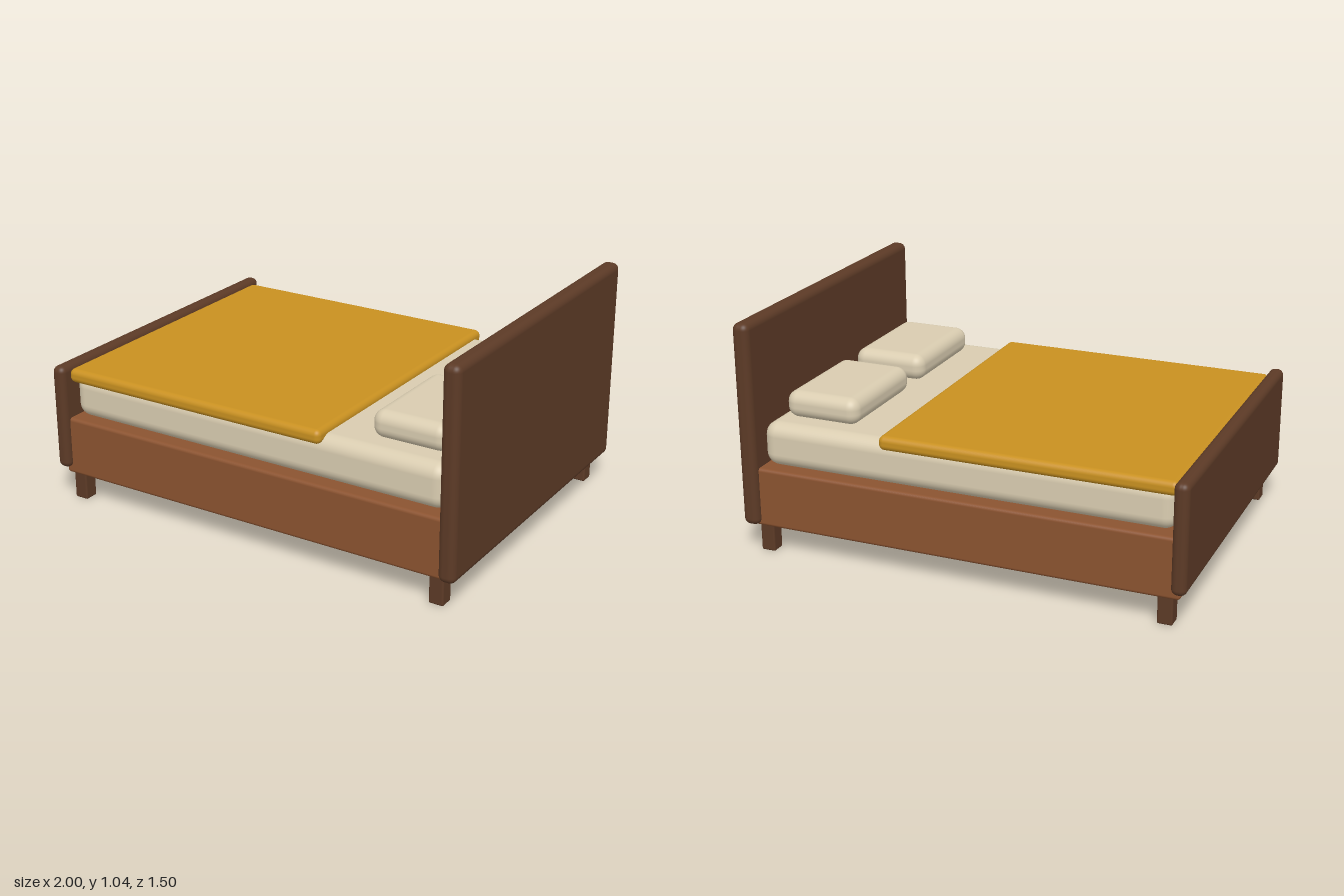
import * as THREE from 'three';
import { RoundedBoxGeometry } from 'three/addons/geometries/RoundedBoxGeometry.js';

const flat = (name, color) => {
  const material = new THREE.MeshStandardMaterial({ color });
  material.name = name;
  return material;
};

export function createModel() {
  const darkWood = flat('dark wood', 0x5c3a26);
  const warmWood = flat('warm wood', 0x8b5330);
  const linen = flat('linen', 0xd9ccb0);
  const gold = flat('gold cloth', 0xc89020);

  const bed = new THREE.Group();
  bed.name = 'bed';

  // Rounded block given by its extents on each axis
  function block(name, material, [x0, x1], [y0, y1], [z0, z1], radius) {
    const geometry = new RoundedBoxGeometry(x1 - x0, y1 - y0, z1 - z0, 5, radius);
    const mesh = new THREE.Mesh(geometry, material);
    mesh.name = name;
    mesh.position.set((x0 + x1) / 2, (y0 + y1) / 2, (z0 + z1) / 2);
    bed.add(mesh);
  }

  // Wooden frame and end boards
  block('frame', warmWood, [-0.97, 0.97], [0.12, 0.387], [-0.72, 0.72], 0.015);
  block('headboard', darkWood, [0.923, 1], [0.125, 1.037], [-0.75, 0.75], 0.03);
  block('footboard', darkWood, [-1, -0.935], [0.15, 0.63], [-0.75, 0.75], 0.028);

  // Four short legs
  for (const x of [-0.907, 0.903]) {
    for (const z of [-0.676, 0.676]) {
      block('leg', darkWood, [x - 0.033, x + 0.033], [0, 0.16], [z - 0.033, z + 0.033], 0.008);
    }
  }

  // Bedding
  block('mattress', linen, [-0.932, 0.92], [0.387, 0.585], [-0.685, 0.685], 0.06);
  block('blanket', gold, [-0.943, 0.355], [0.55, 0.613], [-0.703, 0.703], 0.025);

  // Two pillows, mirrored across the middle
  for (const side of [-1, 1]) {
    const z = side * 0.317;
    block('pillow', linen, [0.517, 0.862], [0.58, 0.7], [z - 0.262, z + 0.262], 0.05);
  }

  return bed;
}
